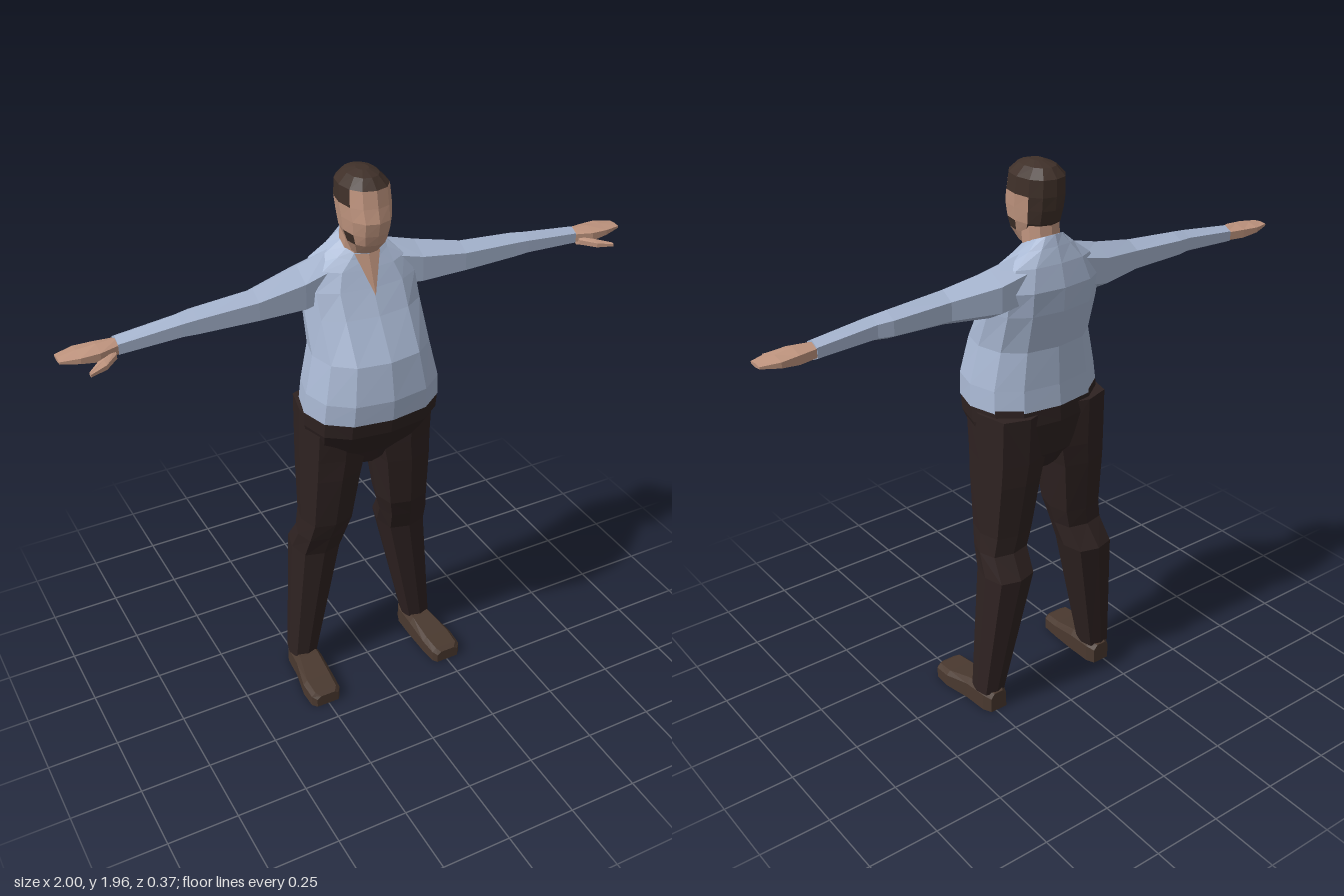
import * as THREE from 'three';

const mat = (name, color) => {
  const m = new THREE.MeshStandardMaterial({ color });
  m.name = name;
  return m;
};

// Closed outline of n points; u runs sideways, v runs forward or up, both -1..1
function oval(n, p, place) {
  const pow = (t) => (Math.abs(t) < 1e-6 ? 0 : Math.sign(t) * Math.abs(t) ** p);
  return Array.from({ length: n }, (_, k) => {
    const a = (k / n) * Math.PI * 2;
    return new THREE.Vector3(...place(pow(Math.sin(a)), pow(Math.cos(a))));
  });
}

// Horizontal section between x0..x1 and zb..zf; tilt lowers the front edge
const level = (n, p, y, x0, x1, zf, zb, tilt = 0) => oval(n, p, (u, v) => [
  (x0 + x1) / 2 + (u * (x1 - x0)) / 2, y - tilt * v, (zf + zb) / 2 + (v * (zf - zb)) / 2]);

// Upright section across a limb that runs along x
const across = (s, [x, top, bottom, zf, zb]) => oval(6, 0.9, (u, v) => [
  s * x, (top + bottom) / 2 + (v * (top - bottom)) / 2, (zf + zb) / 2 + (u * (zf - zb)) / 2]);

// Faceted skin over a row of sections, capped at both ends; pick(row, side) chooses the material
function loft(name, rings, materials, pick = () => 0) {
  const list = [].concat(materials);
  const tris = list.map(() => []);
  const n = rings[0].length;
  const last = rings.length - 1;
  const centre = (r) => r.reduce((c, p) => c.add(p), new THREE.Vector3()).divideScalar(n);
  const c0 = centre(rings[0]);
  const c1 = centre(rings[last]);
  for (let k = 0; k < n; k++) {
    const j = (k + 1) % n;
    for (let i = 0; i < last; i++) {
      const [a, b, c, d] = [rings[i][k], rings[i][j], rings[i + 1][j], rings[i + 1][k]];
      tris[pick(i, k)].push([a, b, c], [a, c, d]);
    }
    tris[pick(0, k)].push([c0, rings[0][j], rings[0][k]]);
    tris[pick(last, k)].push([c1, rings[last][k], rings[last][j]]);
  }
  // Turn every face outward
  let volume = 0;
  const cross = new THREE.Vector3();
  tris.flat().forEach(([a, b, c]) => { volume += a.dot(cross.crossVectors(b, c)); });
  if (volume < 0) tris.flat().forEach((t) => t.reverse());
  const geo = new THREE.BufferGeometry().setFromPoints(tris.flat(2));
  let start = 0;
  tris.forEach((t, i) => {
    geo.addGroup(start, t.length * 3, i);
    start += t.length * 3;
  });
  geo.computeVertexNormals();
  const mesh = new THREE.Mesh(geo, list.length > 1 ? list : list[0]);
  mesh.name = name;
  return mesh;
}

export function createModel() {
  const shirt = mat('shirt blue', 0xa9b8d3);
  const trousers = mat('trouser brown', 0x2e2221);
  const skin = mat('skin', 0xc0957f);
  const hair = mat('hair brown', 0x3f3029);
  const leather = mat('shoe brown', 0x4a392f);
  const man = new THREE.Group();
  man.name = 'man';

  // Shirt body: height, half width, front, back, tilt
  man.add(loft('shirtBody', [
    [1.165, 0.238, 0.182, -0.17, 0],
    [1.24, 0.232, 0.188, -0.162, 0],
    [1.37, 0.202, 0.165, -0.156, 0],
    [1.5, 0.2, 0.085, -0.18, 0],
    [1.58, 0.2, 0.042, -0.185, 0],
    [1.645, 0.165, 0.015, -0.165, 0.01],
    [1.685, 0.1, 0.0, -0.145, 0.02],
    [1.715, 0.058, -0.01, -0.132, 0.025],
  ].map(([y, w, f, b, t]) => level(12, 0.85, y, -w, w, f, b, t)), shirt));

  // Open collar showing the chest
  const vee = new THREE.BufferGeometry().setFromPoints([
    [-0.045, 1.69, 0.0], [0, 1.56, 0.058], [0, 1.685, 0.01],
    [0, 1.685, 0.01], [0, 1.56, 0.058], [0.045, 1.69, 0.0],
  ].map((p) => new THREE.Vector3(...p)));
  vee.computeVertexNormals();
  const collar = new THREE.Mesh(vee, skin);
  collar.name = 'openCollar';
  man.add(collar);

  // Neck and head
  man.add(loft('neck', [
    level(10, 0.9, 1.66, -0.062, 0.062, -0.008, -0.125),
    level(10, 0.9, 1.79, -0.062, 0.062, 0.01, -0.11),
  ], skin));
  const headRings = [
    [1.695, 0.045, 0.025, -0.07],
    [1.735, 0.063, 0.062, -0.09],
    [1.77, 0.073, 0.074, -0.118],
    [1.815, 0.078, 0.084, -0.132],
    [1.86, 0.082, 0.072, -0.138],
    [1.915, 0.079, 0.062, -0.138],
    [1.945, 0.05, 0.03, -0.11],
    [1.957, 0.02, -0.01, -0.06],
  ].map(([y, w, f, b]) => level(12, 0.9, y, -w, w, f, b));
  man.add(loft('head', headRings, [skin, hair], (row, k) => {
    const side = Math.min(k, 11 - k); // 0 at the face, 5 at the back
    if (row >= 5) return 1;
    if (row === 4) return side >= 2 ? 1 : 0;
    if (row === 1) return side === 2 || side >= 4 ? 1 : 0;
    return row >= 2 && side >= 4 ? 1 : 0;
  }));

  // Seat of the trousers
  man.add(loft('trouserSeat', [
    [1.175, 0.234, 0.178, -0.166],
    [1.11, 0.234, 0.168, -0.172],
    [0.985, 0.2, 0.075, -0.15],
    [0.91, 0.05, 0.03, -0.1],
  ].map(([y, w, f, b]) => level(12, 0.8, y, -w, w, f, b)), trousers));

  for (const s of [1, -1]) {
    const side = s > 0 ? 'left' : 'right';

    // Sleeve: distance out, top, bottom, front, back
    man.add(loft(side + 'Sleeve', [
      [0.1, 1.685, 1.51, -0.01, -0.155],
      [0.21, 1.655, 1.495, 0.0, -0.15],
      [0.37, 1.622, 1.508, 0.0, -0.108],
      [0.57, 1.606, 1.515, -0.008, -0.1],
      [0.62, 1.6, 1.52, -0.01, -0.09],
      [0.82, 1.576, 1.513, -0.018, -0.086],
    ].map((r) => across(s, r)), shirt));

    // Hand and thumb
    man.add(loft(side + 'Hand', [
      [0.81, 1.57, 1.518, -0.022, -0.082],
      [0.88, 1.569, 1.515, 0.0, -0.094],
      [0.94, 1.562, 1.528, -0.002, -0.1],
      [1.0, 1.553, 1.54, -0.02, -0.08],
    ].map((r) => across(s, r)), skin));
    man.add(loft(side + 'Thumb', [
      [0.83, 1.545, 1.515, -0.01, -0.05],
      [0.875, 1.54, 1.512, 0.033, -0.025],
      [0.93, 1.53, 1.515, 0.05, 0.032],
    ].map((r) => across(s, r)), skin));

    // Trouser leg: height, inner, outer, front, back
    man.add(loft(side + 'TrouserLeg', [
      [1.15, 0.01, 0.234, 0.1, -0.17],
      [0.98, 0.012, 0.237, 0.082, -0.163],
      [0.9, 0.03, 0.238, 0.076, -0.157],
      [0.7, 0.058, 0.24, 0.05, -0.132],
      [0.63, 0.075, 0.25, 0.028, -0.125],
      [0.55, 0.086, 0.258, 0.002, -0.18],
      [0.07, 0.19, 0.292, -0.018, -0.127],
    ].map(([y, a, b, f, k]) => level(8, 0.7, y, s * a, s * b, f, k)), trousers));

    // Shoe: station along z, inner, outer, height
    man.add(loft(side + 'Shoe', [
      [-0.132, 0.205, 0.27, 0.075],
      [-0.1, 0.192, 0.285, 0.085],
      [-0.01, 0.19, 0.292, 0.083],
      [0.09, 0.192, 0.312, 0.062],
      [0.155, 0.197, 0.31, 0.055],
      [0.172, 0.21, 0.295, 0.045],
    ].map(([z, a, b, h]) => [[a, 0], [b, 0], [b, h * 0.75], [b - 0.015, h], [a + 0.015, h], [a, h * 0.75]]
      .map(([x, y]) => new THREE.Vector3(s * x, y, z))), leather));
  }
  return man;
}
